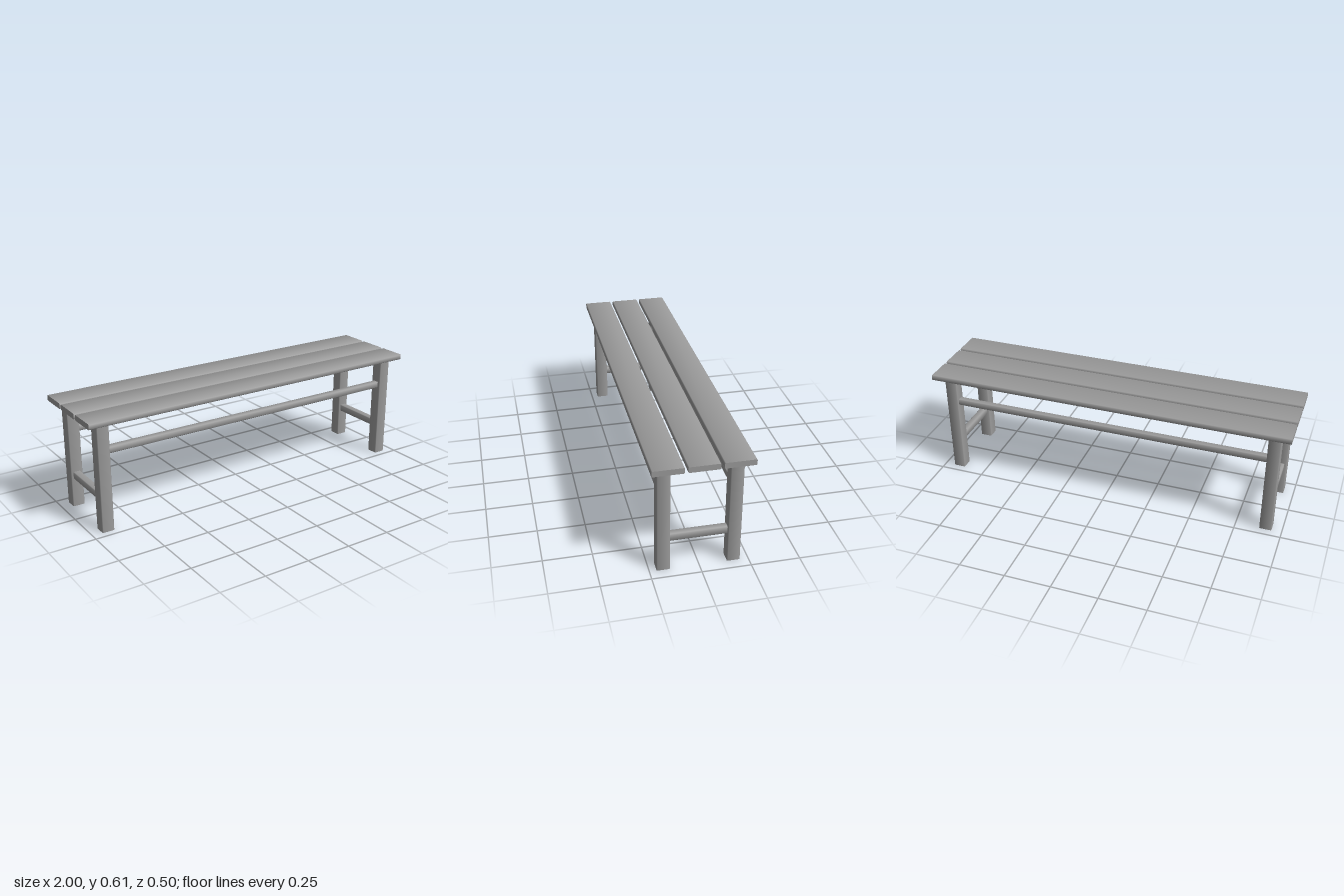
import * as THREE from 'three';

const material = new THREE.MeshStandardMaterial({ color: 0x9b9b9b });

// Upright beam with chamfered long edges: an eight-sided prism squared off,
// keeping its soft side normals and flat ends.
function beam(name, width, length, depth, bevel = 0.004) {
  const geometry = new THREE.CylinderGeometry(1, 1, length, 8, 1, false, Math.PI / 8);
  const p = geometry.attributes.position;
  for (let i = 0; i < p.count; i++) {
    const x = p.getX(i), z = p.getZ(i);
    const xFace = Math.abs(x) > Math.abs(z);
    p.setX(i, Math.sign(x) * (width / 2 - (xFace ? 0 : bevel)));
    p.setZ(i, Math.sign(z) * (depth / 2 - (xFace ? bevel : 0)));
  }
  const mesh = new THREE.Mesh(geometry, material);
  mesh.name = name;
  return mesh;
}

export function createModel() {
  const bench = new THREE.Group();
  bench.name = 'bench';
  const legX = 0.912, legZ = 0.1775, legSize = 0.066, frameZ = 0.003;
  const seatBottom = 0.583, seatThickness = 0.03;
  const longRailSize = 0.036, crossRailSize = 0.04;

  // Three seat planks
  for (const i of [-1, 0, 1]) {
    const plank = beam('seatPlank', seatThickness, 2, 0.155);
    plank.rotation.z = Math.PI / 2;
    plank.position.set(0, seatBottom + seatThickness / 2, i * 0.171 + 0.001);
    bench.add(plank);
  }

  const frame = new THREE.Group();
  frame.name = 'frame';
  frame.position.z = frameZ;
  bench.add(frame);

  // Four legs
  for (const sx of [-1, 1]) {
    for (const sz of [-1, 1]) {
      const leg = beam('leg', legSize, seatBottom, legSize);
      leg.position.set(sx * legX, seatBottom / 2, sz * legZ);
      frame.add(leg);
    }
  }

  for (const side of [-1, 1]) {
    // Long rails under the front and back
    const rail = beam('longRail', longRailSize, 2 * legX - legSize, longRailSize);
    rail.rotation.z = Math.PI / 2;
    rail.position.set(0, 0.433, side * legZ);
    frame.add(rail);

    // Short rails joining each pair of legs
    const crossRail = beam('crossRail', crossRailSize, 2 * legZ - legSize, crossRailSize);
    crossRail.rotation.x = Math.PI / 2;
    crossRail.position.set(side * legX, 0.178, 0);
    frame.add(crossRail);
  }

  return bench;
}
